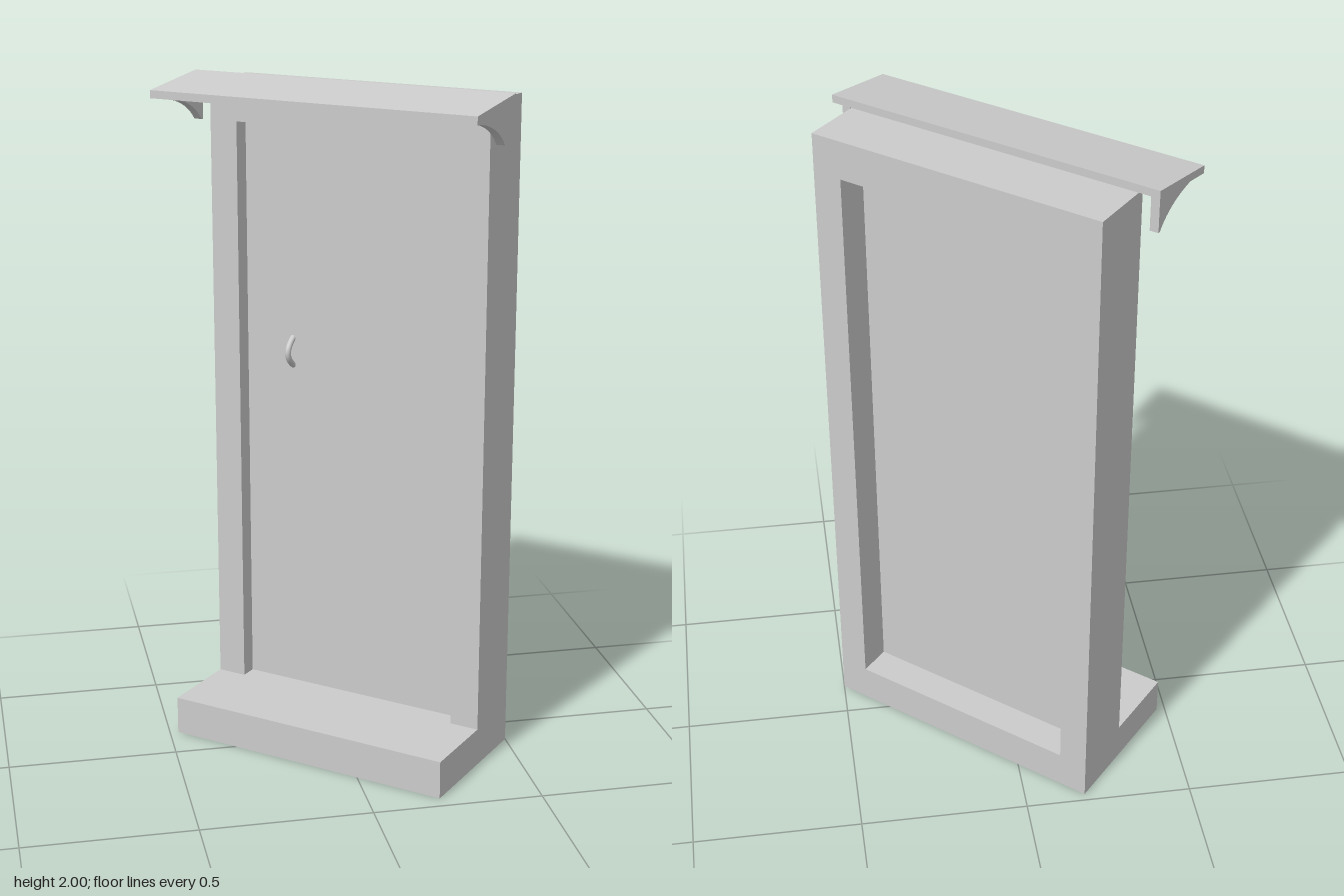
import * as THREE from 'three';

const material = new THREE.MeshStandardMaterial({ color: 0xcccccc });

// Outer size, depth layers (local z) and opening of the doorway
const HALF_W = 0.451, TOP = 1.976, SILL = 0.115, LINTEL = 1.862, OPEN_HALF = 0.362;
const BACK = -0.224, WALL_FRONT = -0.023, STEP_FRONT = 0.224;
const DOOR_BACK = -0.124, DOOR_FRONT = -0.073;

function part(name, geometry) {
  const mesh = new THREE.Mesh(geometry, material);
  mesh.name = name;
  return mesh;
}

function box(name, x0, x1, y0, y1, z0, z1) {
  const mesh = part(name, new THREE.BoxGeometry(x1 - x0, y1 - y0, z1 - z0));
  mesh.position.set((x0 + x1) / 2, (y0 + y1) / 2, (z0 + z1) / 2);
  return mesh;
}

function rectangle(path, x0, x1, y0, y1) {
  path.moveTo(x0, y0);
  path.lineTo(x1, y0);
  path.lineTo(x1, y1);
  path.lineTo(x0, y1);
  path.closePath();
  return path;
}

// Extrudes a side profile drawn in (z, y) along x, from x0 to x1
function sideProfile(name, shape, x0, x1) {
  const geometry = new THREE.ExtrudeGeometry(shape, { depth: x1 - x0, bevelEnabled: false, curveSegments: 12 });
  geometry.rotateY(-Math.PI / 2); // profile x -> z, depth -> -x
  geometry.translate(x1, 0, 0);
  return part(name, geometry);
}

export function createModel() {
  const model = new THREE.Group();
  model.name = 'doorway';

  // Everything is built square, then turned about the vertical axis
  const body = new THREE.Group();
  body.name = 'doorwayBody';
  body.rotation.y = -0.7166;
  body.position.set(0.0125, 0, -0.01);
  model.add(body);

  // Wall frame with the door opening
  const wall = rectangle(new THREE.Shape(), -HALF_W, HALF_W, 0, TOP);
  wall.holes.push(rectangle(new THREE.Path(), -OPEN_HALF, OPEN_HALF, SILL, LINTEL));
  const frame = part('doorFrame', new THREE.ExtrudeGeometry(wall, { depth: WALL_FRONT - BACK, bevelEnabled: false }));
  frame.position.z = BACK;
  body.add(frame);

  // Door panel and front step
  body.add(box('door', -OPEN_HALF, OPEN_HALF, SILL, LINTEL, DOOR_BACK, DOOR_FRONT));
  body.add(box('step', -HALF_W, HALF_W, 0, SILL, WALL_FRONT, STEP_FRONT));

  // Curved pull handle
  const grip = new THREE.QuadraticBezierCurve3(
    new THREE.Vector3(-0.206, 1.137, DOOR_FRONT - 0.004),
    new THREE.Vector3(-0.206, 1.18, DOOR_FRONT + 0.062),
    new THREE.Vector3(-0.206, 1.223, DOOR_FRONT - 0.004)
  );
  body.add(part('handle', new THREE.TubeGeometry(grip, 20, 0.009, 12)));

  // Sloping canopy slab
  const canopy = new THREE.Shape([
    new THREE.Vector2(-0.045, 1.977),
    new THREE.Vector2(0.193, 1.945),
    new THREE.Vector2(0.193, 1.968),
    new THREE.Vector2(-0.045, 2.0)
  ]);
  body.add(sideProfile('canopy', canopy, -0.514, 0.514));

  // Concave brackets beneath both ends of the canopy
  const bracket = new THREE.Shape();
  bracket.moveTo(-0.019, 1.862);
  bracket.lineTo(-0.012, 1.862);
  bracket.quadraticCurveTo(0.04, 1.929, 0.172, 1.942);
  bracket.lineTo(0.172, 1.949);
  bracket.lineTo(-0.019, 1.975);
  bracket.closePath();
  body.add(sideProfile('leftBracket', bracket, 0.474, 0.5));
  body.add(sideProfile('rightBracket', bracket, -0.5, -0.474));

  return model;
}
